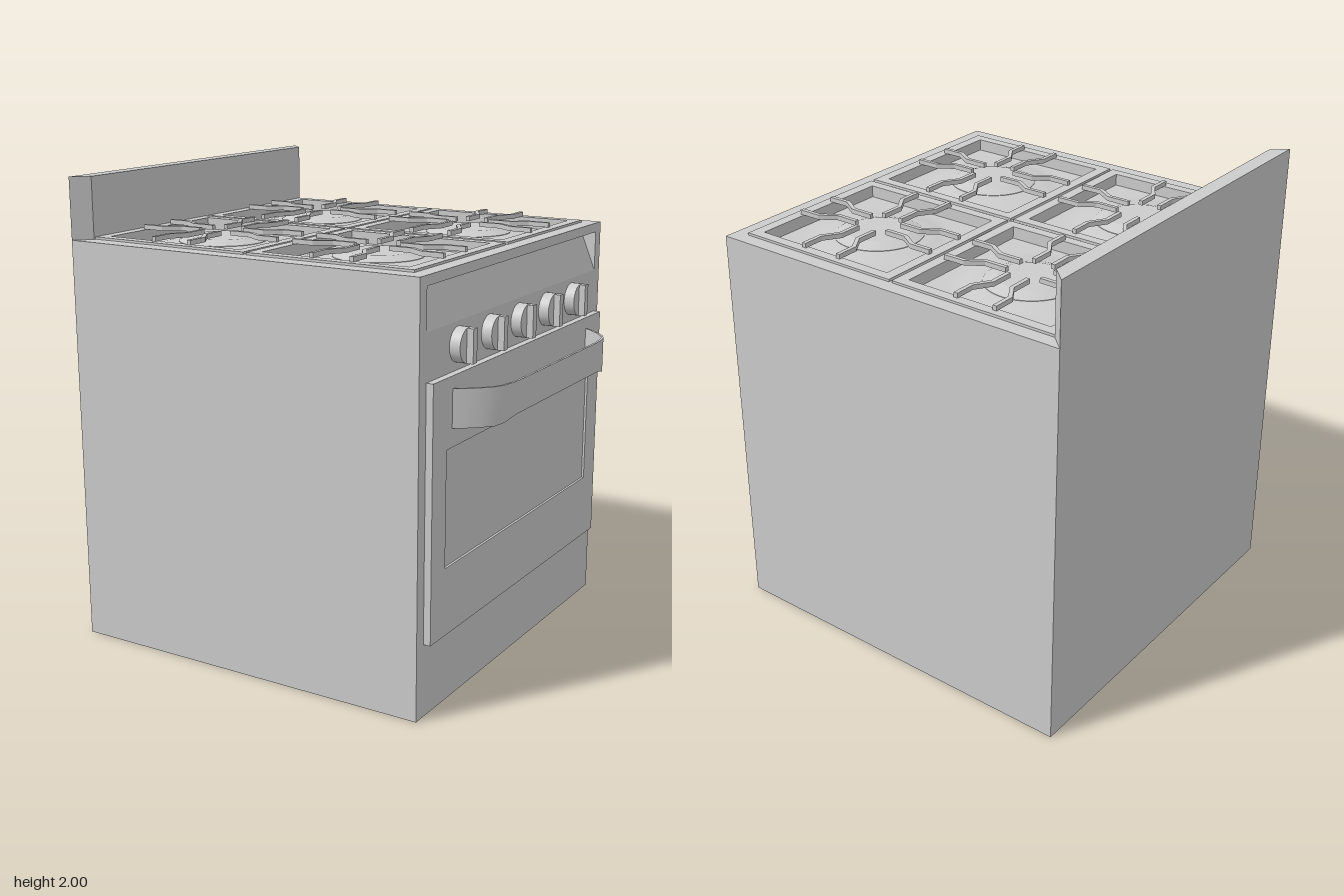
import * as THREE from 'three';

const mat = new THREE.MeshStandardMaterial({ color: 0xcccccc });

function add(parent, name, geo, x = 0, y = 0, z = 0) {
  const m = new THREE.Mesh(geo, mat);
  m.name = name;
  m.position.set(x, y, z);
  parent.add(m);
  return m;
}

// Box given by its min and max corners
function block(parent, name, x0, x1, y0, y1, z0, z1) {
  return add(parent, name, new THREE.BoxGeometry(x1 - x0, y1 - y0, z1 - z0),
    (x0 + x1) / 2, (y0 + y1) / 2, (z0 + z1) / 2);
}

const poly = pts => new THREE.Shape(pts.map(p => new THREE.Vector2(p[0], p[1])));
const rect = (a, b, c, d) => poly([[a, c], [b, c], [b, d], [a, d]]);
const extrude = (shape, depth) => new THREE.ExtrudeGeometry(shape, { depth, bevelEnabled: false });
// Plan outline (x, -z) raised upwards
const slab = (shape, h) => extrude(shape, h).rotateX(-Math.PI / 2);

// Flat bar of width w and height h following a path of [x, z] points
function bar(pts, w, h) {
  const n = pts.length - 1;
  const geo = new THREE.BoxGeometry(w, h, 1, 1, 1, n);
  const pos = geo.attributes.position;
  for (let k = 0; k < pos.count; k++) {
    const i = Math.round((pos.getZ(k) + 0.5) * n);
    const a = pts[Math.max(i - 1, 0)], b = pts[Math.min(i + 1, n)];
    const tx = b[0] - a[0], tz = b[1] - a[1], len = Math.hypot(tx, tz);
    const s = pos.getX(k);
    pos.setXYZ(k, pts[i][0] + s * tz / len, pos.getY(k), pts[i][1] - s * tx / len);
  }
  return geo;
}

export function createModel() {
  const stove = new THREE.Group();
  stove.name = 'stove';
  const X0 = -0.915, X1 = 0.73, Z = 0.8225, ZR = 0.77;
  const burnerX = [-0.475, 0.29], burnerZ = [-0.3875, 0.3775];

  // Main body, with a sloping recess above the knobs
  const body = new THREE.Group();
  body.name = 'body';
  stove.add(body);
  add(body, 'bodyCore', extrude(poly([[X0, 0.3], [X1, 0.3], [X1, 1.53], [0.66, 1.7], [X0, 1.7]]), 2 * ZR), 0, 0, -ZR);
  for (const s of [-1, 1]) {
    block(body, 'sidePanel', X0, X1, 0, 1.7, Math.min(s * ZR, s * Z), Math.max(s * ZR, s * Z));
  }
  block(body, 'frontSkirt', 0.7, X1, 0, 0.3, -ZR, ZR);
  block(body, 'backSkirt', X0, X0 + 0.02, 0, 0.3, -ZR, ZR);

  // Open base with inner partition and grille
  const floor = rect(-0.65, 0.7, -ZR, ZR);
  floor.holes.push(rect(-0.56, 0.67, -0.72, 0.72));
  add(body, 'baseRim', slab(floor, 0.02));
  block(body, 'basePartition', -0.6, -0.56, 0.02, 0.3, -ZR, ZR);
  for (let i = 0; i < 5; i++) {
    const z = -0.5 + i * 0.25;
    block(body, 'baseSlat', -0.56, 0.67, 0.25, 0.3, z - 0.015, z + 0.015);
  }
  block(body, 'baseCrossbar', 0.04, 0.07, 0.25, 0.3, -0.72, 0.72);

  // Cooktop slab with four pan openings
  const top = rect(X0, X1, -Z, Z);
  for (const x of burnerX) for (const z of burnerZ) {
    top.holes.push(rect(x - 0.328, x + 0.328, -z - 0.328, -z + 0.328));
  }
  add(stove, 'cooktop', slab(top, 0.04), 0, 1.7, 0);

  // Burners: raised rim plate, domed pan, cap and grate
  const dome = new THREE.SplineCurve([[0.31, 0.001], [0.27, 0.004], [0.225, 0.013], [0.185, 0.018]]
    .map(p => new THREE.Vector2(p[0], p[1]))).getPoints(8);
  const v = (x, y) => new THREE.Vector2(x, y);
  for (const x of burnerX) for (const z of burnerZ) {
    const burner = new THREE.Group();
    burner.name = 'burner';
    burner.position.set(x, 1.7, z);
    stove.add(burner);
    const plate = rect(-0.375, 0.375, -0.3725, 0.3725);
    plate.holes.push(rect(-0.328, 0.328, -0.328, 0.328));
    add(burner, 'rimPlate', slab(plate, 0.01), 0, 0.04, 0);
    add(burner, 'pan', new THREE.LatheGeometry(dome, 40));
    add(burner, 'burnerRing', new THREE.LatheGeometry([v(0.185, 0), v(0.185, 0.02)], 40));
    add(burner, 'burnerSlope', new THREE.LatheGeometry([v(0.185, 0.02), v(0.13, 0.038)], 40));
    add(burner, 'burnerCap', new THREE.CircleGeometry(0.13, 40).rotateX(-Math.PI / 2), 0, 0.038, 0);
    for (let i = 0; i < 4; i++) for (const s of [-1, 1]) {
      const path = [[s * 0.09, -0.345], [s * 0.09, -0.25], [s * 0.045, -0.18], [s * 0.045, -0.08]];
      add(burner, 'grateBar', bar(path, 0.018, 0.02).toNonIndexed(), 0, 0.06, 0).rotation.y = i * Math.PI / 2;
    }
  }
  stove.traverse(o => { if (o.name === 'grateBar') o.geometry.computeVertexNormals(); });

  // Backsplash with mitred ends
  add(stove, 'backsplash', slab(poly([[X0, -Z], [-0.85, -0.76], [-0.85, 0.76], [X0, Z]]), 0.26), 0, 1.74, 0);

  // Oven door with an inset window
  const door = rect(-0.77, 0.785, 0.305, 1.34);
  door.holes.push(rect(-0.66, 0.67, 0.585, 1.06));
  add(stove, 'ovenDoor', extrude(door, 0.03).rotateY(Math.PI / 2), X1, 0, 0);
  block(stove, 'ovenWindow', X1, 0.75, 0.585, 1.06, -0.67, 0.66);

  // Curved strap handle, narrower in the middle
  const half = [[0.757, -0.625], [0.80, -0.595], [0.845, -0.555], [0.88, -0.515], [0.898, -0.475], [0.907, -0.42], [0.91, -0.38]];
  const path = half.concat(half.slice().reverse().map(p => [p[0], -p[1]]));
  const strap = bar(path, 0.01, 0.155);
  const pos = strap.attributes.position;
  for (let k = 0; k < pos.count; k++) {
    const t = THREE.MathUtils.smoothstep(-Math.abs(pos.getZ(k)), -0.53, -0.38);
    if (pos.getY(k) < 0) pos.setY(k, pos.getY(k) + 0.024 * t);
  }
  strap.computeVertexNormals();
  add(stove, 'doorHandle', strap, 0, 1.2125, -0.01);

  // Control knobs: round base with a grip bar
  for (let i = -2; i <= 2; i++) {
    const knob = new THREE.Group();
    knob.name = 'knob';
    knob.position.set(X1, 1.44, 0.003 + i * 0.261);
    stove.add(knob);
    add(knob, 'knobBase', new THREE.CylinderGeometry(0.07, 0.07, 0.045, 32).rotateZ(-Math.PI / 2), 0.0225, 0, 0);
    block(knob, 'knobGrip', 0.04, 0.073, -0.068, 0.068, -0.016, 0.016);
  }
  return stove;
}
